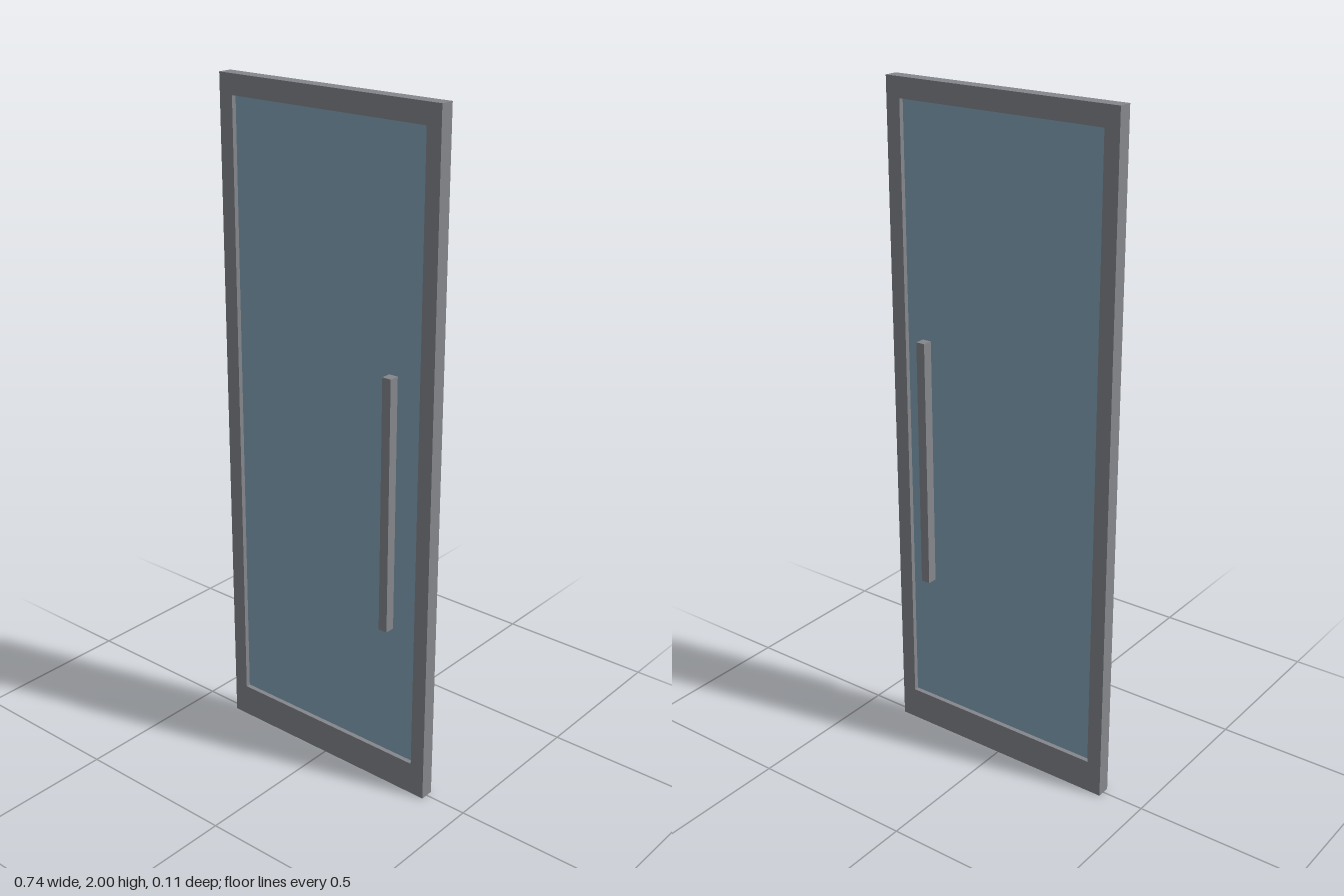
import * as THREE from 'three';

export function createModel() {
  const model = new THREE.Group();
  model.name = 'glassDoor';

  const metal = new THREE.MeshStandardMaterial({ color: 0x85878c });
  metal.name = 'brushed metal';
  const glass = new THREE.MeshStandardMaterial({ color: 0x85a5ba });
  glass.name = 'blue glass';

  const W = 0.37, H = 2, D = 0.042;               // half width, height, thickness
  const inX = 0.325, inBottom = 0.1, inTop = 1.942; // glazed opening

  const add = (name, geometry, material, x = 0, y = 0, z = 0) => {
    const mesh = new THREE.Mesh(geometry, material);
    mesh.name = name;
    mesh.position.set(x, y, z);
    model.add(mesh);
  };

  // Frame: one slab with a rectangular opening
  const outline = new THREE.Shape();
  outline.moveTo(-W, 0).lineTo(W, 0).lineTo(W, H).lineTo(-W, H).closePath();
  const opening = new THREE.Path();
  opening.moveTo(-inX, inBottom).lineTo(-inX, inTop).lineTo(inX, inTop).lineTo(inX, inBottom).closePath();
  outline.holes.push(opening);
  add('frame', new THREE.ExtrudeGeometry(outline, { depth: D, bevelEnabled: false }), metal, 0, 0, -D / 2);

  // Recessed glass pane
  add('glassPane', new THREE.BoxGeometry(inX * 2, inTop - inBottom, 0.014), glass, 0, (inTop + inBottom) / 2, 0);

  // Square pull bars, front and back
  for (const [name, side] of [['frontHandle', 1], ['backHandle', -1]]) {
    add(name, new THREE.BoxGeometry(0.028, 0.754, 0.03), metal, 0.242, 0.903, side * 0.042);
  }

  return model;
}
